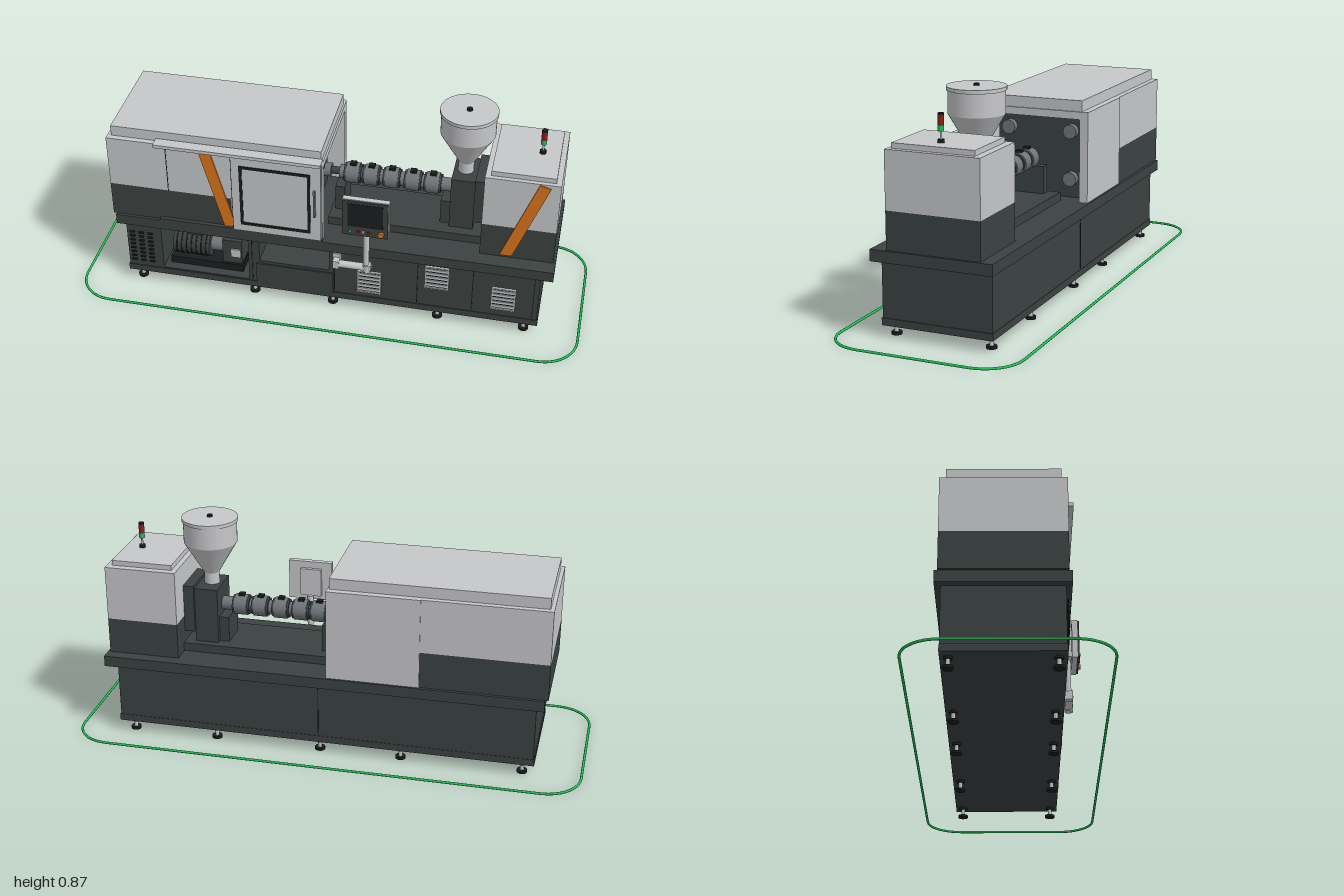
import * as THREE from 'three';

const mat = (name, color) => Object.assign(new THREE.MeshStandardMaterial({ color }), { name });

export function createModel() {
  const light = mat('light grey paint', 0xc6c7c9), dark = mat('dark grey paint', 0x3b4241);
  const black = mat('black', 0x1b1d1e), orange = mat('orange', 0xd8741c);
  const green = mat('green', 0x1fbf58), red = mat('red', 0x8a201a);
  const metal = mat('steel', 0x70757a);
  const root = new THREE.Group();
  root.name = 'mouldingMachine';

  const add = (name, geo, m) => {
    const mesh = new THREE.Mesh(geo, m);
    mesh.name = name;
    root.add(mesh);
    return mesh;
  };
  // box given by its limits on each axis
  const box = (name, m, x0, x1, y0, y1, z0, z1) => {
    const b = add(name, new THREE.BoxGeometry(x1 - x0, y1 - y0, z1 - z0), m);
    b.position.set((x0 + x1) / 2, (y0 + y1) / 2, (z0 + z1) / 2);
    return b;
  };
  // cylinder centred at a point, along axis 'x', 'y' or 'z'
  const cyl = (name, m, r, len, x, y, z, axis = 'y', seg = 24) => {
    const c = add(name, new THREE.CylinderGeometry(r, r, len, seg), m);
    if (axis === 'x') c.rotation.z = Math.PI / 2;
    if (axis === 'z') c.rotation.x = Math.PI / 2;
    c.position.set(x, y, z);
    return c;
  };
  const poly = (pts) => new THREE.Shape(pts.map(([x, y]) => new THREE.Vector2(x, y)));
  const rect = (x0, x1, y0, y1) => poly([[x0, y0], [x1, y0], [x1, y1], [x0, y1]]);
  const extrude = (name, m, shape, depth, z) => {
    const e = add(name, new THREE.ExtrudeGeometry(shape, { depth, bevelEnabled: false }), m);
    e.position.z = z;
    return e;
  };

  // floor outline: rounded rectangle tube
  const loop = new THREE.CurvePath();
  const W = 0.995, D = 0.355, R = 0.14;
  const corners = [[W, D, 0], [-W, D, 1], [-W, -D, 2], [W, -D, 3]];
  const pts = [];
  corners.forEach(([x, z, q]) => {
    for (let i = 0; i <= 8; i++) {
      const a = (q + i / 8) * Math.PI / 2;
      pts.push(new THREE.Vector3(x - Math.sign(x) * R + R * Math.cos(a), 0.006, z - Math.sign(z) * R + R * Math.sin(a)));
    }
  });
  pts.forEach((p, i) => loop.add(new THREE.LineCurve3(p, pts[(i + 1) % pts.length])));
  add('floorOutline', new THREE.TubeGeometry(loop, 300, 0.005, 8, true), green);

  // levelling feet
  for (const x of [-0.77, -0.3, 0.02, 0.44, 0.78]) for (const z of [0.17, -0.2]) {
    cyl('footPad', black, 0.02, 0.01, x, 0.006, z);
    cyl('footRod', light, 0.008, 0.03, x, 0.025, z, 'y', 12);
    cyl('footNut', black, 0.016, 0.01, x, 0.041, z, 'y', 6);
  }

  // base cabinet with open bays in the front
  box('plinth', dark, -0.817, 0.834, 0.046, 0.073, -0.23, 0.2);
  const front = rect(-0.813, 0.83, 0.073, 0.29);
  front.holes.push(rect(-0.67, -0.315, 0.078, 0.283), rect(-0.27, 0.01, 0.18, 0.28));
  extrude('baseFront', dark, front, 0.2, -0.003);
  box('baseBack', dark, -0.813, 0.83, 0.073, 0.29, -0.228, -0.003);
  box('lowerCover', dark, -0.283, 0.025, 0.075, 0.168, 0.197, 0.203);
  box('deck', dark, -0.843, 0.877, 0.29, 0.333, -0.25, 0.218);
  for (const x of [-0.3, 0.03, 0.36, 0.575, 0.81])
    box('frontSeam', black, x - 0.0015, x + 0.0015, 0.08, 0.285, 0.196, 0.199);
  box('backSeam', black, 0.02, 0.023, 0.08, 0.285, -0.23, -0.227);

  // perforations at the left end of the base
  for (let i = 0; i < 3; i++) for (let j = 0; j < 8; j++)
    box('perforation', black, -0.8 + i * 0.037, -0.78 + i * 0.037, 0.1 + j * 0.02, 0.105 + j * 0.02, 0.197, 0.205);

  // louvred vents
  for (const [x, y] of [[0.171, 0.15], [0.436, 0.218], [0.696, 0.158]]) {
    box('ventBack', black, x - 0.044, x + 0.044, y - 0.05, y + 0.05, 0.196, 0.2);
    const frame = rect(x - 0.047, x + 0.047, y - 0.053, y + 0.053);
    frame.holes.push(rect(x - 0.041, x + 0.041, y - 0.047, y + 0.047));
    extrude('ventFrame', light, frame, 0.009, 0.197);
    for (let i = -2; i <= 2; i++)
      box('ventSlat', light, x - 0.041, x + 0.041, y + i * 0.018 - 0.005, y + i * 0.018 + 0.005, 0.198, 0.204);
  }

  // hydraulic pump and motor in the open bay
  cyl('pumpMotor', dark, 0.055, 0.15, -0.565, 0.16, 0.1, 'x');
  for (let i = 0; i < 7; i++) cyl('motorFin', black, 0.058, 0.005, -0.625 + i * 0.02, 0.16, 0.1, 'x');
  box('motorTerminal', dark, -0.575, -0.52, 0.21, 0.24, 0.07, 0.13);
  cyl('coupling', metal, 0.03, 0.06, -0.465, 0.16, 0.1, 'x');
  box('pumpBody', dark, -0.435, -0.355, 0.11, 0.22, 0.06, 0.15);
  box('pumpPlate', light, -0.4, -0.36, 0.143, 0.182, 0.15, 0.156);
  cyl('pumpPipe', metal, 0.012, 0.05, -0.405, 0.24, 0.1);
  box('pumpStand', black, -0.65, -0.35, 0.075, 0.11, 0.04, 0.16);

  // clamp housing: solid left part, hollow right part
  box('clampLower', dark, -0.855, -0.37, 0.333, 0.477, -0.238, 0.207);
  box('clampUpper', light, -0.855, -0.37, 0.477, 0.69, -0.238, 0.207);
  box('clampSeam', black, -0.622, -0.619, 0.477, 0.69, 0.204, 0.2085);
  box('clampRoof', light, -0.37, -0.013, 0.66, 0.69, -0.238, 0.207);
  box('clampCap', light, -0.84, -0.02, 0.69, 0.733, -0.215, 0.185);
  box('clampFrontWall', light, -0.37, -0.013, 0.333, 0.66, 0.175, 0.207);
  box('rearDoor', light, -0.37, -0.013, 0.333, 0.69, -0.242, -0.208);
  box('platen', dark, -0.16, -0.08, 0.333, 0.65, -0.19, 0.16);
  for (const y of [0.41, 0.6]) for (const z of [-0.15, 0.11])
    cyl('tieBarNut', metal, 0.028, 0.03, -0.068, y, z, 'x');
  box('doorRail', light, -0.66, -0.013, 0.69, 0.704, 0.19, 0.234);
  box('lowerRail', dark, -0.66, -0.013, 0.333, 0.345, 0.2, 0.222);

  // sliding front door with framed window
  box('frontDoor', light, -0.36, -0.015, 0.345, 0.69, 0.207, 0.224);
  const gasket = rect(-0.33, -0.055, 0.375, 0.65);
  gasket.holes.push(rect(-0.319, -0.066, 0.386, 0.639));
  extrude('windowGasket', black, gasket, 0.005, 0.223);
  box('doorHandle', metal, -0.042, -0.034, 0.46, 0.58, 0.224, 0.236);
  box('doorEdge', black, -0.363, -0.36, 0.345, 0.69, 0.206, 0.222);

  // slanted orange stripes
  extrude('clampStripe', orange, poly([[-0.40, 0.343], [-0.36, 0.343], [-0.36, 0.37], [-0.445, 0.687], [-0.49, 0.68]]), 0.006, 0.206);
  extrude('driveStripe', orange, poly([[0.663, 0.343], [0.71, 0.343], [0.832, 0.675], [0.79, 0.687]]), 0.006, 0.156);

  // drive housing on the right
  box('driveLower', dark, 0.587, 0.868, 0.333, 0.475, -0.203, 0.157);
  box('driveUpper', light, 0.587, 0.868, 0.475, 0.69, -0.203, 0.157);
  box('driveCap', light, 0.608, 0.848, 0.69, 0.71, -0.175, 0.14);

  // signal tower
  for (const [n, m, r, y0, y1] of [['towerBase', black, 0.012, 0.71, 0.722], ['towerRod', light, 0.004, 0.722, 0.75],
    ['towerGreen', green, 0.011, 0.75, 0.77], ['towerRed', red, 0.011, 0.77, 0.806], ['towerCap', black, 0.011, 0.806, 0.813]])
    cyl(n, m, r, y1 - y0, 0.78, (y0 + y1) / 2, -0.016);

  // injection carriage
  const Z = -0.02, Y = 0.507;
  box('carriageBed', dark, -0.013, 0.587, 0.333, 0.367, -0.13, 0.1);
  box('feedBlock', dark, 0.453, 0.545, 0.367, 0.59, Z - 0.08, Z + 0.08);
  box('gearBlock', dark, 0.545, 0.587, 0.41, 0.602, Z - 0.09, Z + 0.09);
  box('rearSupport', dark, 0.415, 0.453, 0.367, 0.47, Z - 0.06, Z + 0.06);
  box('frontSupport', dark, 0.003, 0.04, 0.367, 0.475, Z - 0.06, Z + 0.06);

  // barrel with heater bands
  cyl('barrel', metal, 0.027, 0.445, 0.232, Y, Z, 'x');
  cyl('nozzle', dark, 0.015, 0.04, -0.005, Y, Z, 'x');
  for (const x of [0.062, 0.135, 0.215, 0.298, 0.375]) {
    cyl('heaterBand', metal, 0.041, 0.052, x, Y, Z, 'x', 32);
    for (const s of [-1, 1]) cyl('bandRing', dark, 0.036, 0.008, x + s * 0.03, Y, Z, 'x', 32);
    box('bandTerminal', black, x - 0.012, x + 0.012, Y + 0.036, Y + 0.048, Z - 0.012, Z + 0.012);
  }

  // hopper: side surface in separate bands keeps the edges crisp
  const profile = [[0.03, 0.585], [0.03, 0.635], [0.104, 0.762], [0.104, 0.848], [0.109, 0.848], [0.109, 0.862], [0, 0.862]];
  for (let i = 0; i + 1 < profile.length; i++) {
    const band = [profile[i], profile[i + 1]].map(([r, y]) => new THREE.Vector2(r, y));
    add('hopper', new THREE.LatheGeometry(band, 48), light).position.set(0.498, 0, -0.016);
  }
  cyl('hopperKnob', black, 0.011, 0.009, 0.498, 0.865, -0.016);

  // control panel on a swing arm
  box('panelBody', light, 0.078, 0.256, 0.435, 0.598, 0.25, 0.272);
  box('panelFace', dark, 0.081, 0.253, 0.438, 0.595, 0.272, 0.279);
  box('panelScreen', black, 0.1, 0.234, 0.48, 0.585, 0.279, 0.2805);
  box('panelMount', light, 0.12, 0.205, 0.455, 0.57, 0.236, 0.25);
  [[0.11, green], [0.14, red], [0.16, light], [0.18, red]].forEach(([x, m]) =>
    cyl('panelButton', m, 0.006, 0.006, x, 0.458, 0.281, 'z', 12));
  cyl('stopButton', orange, 0.011, 0.012, 0.228, 0.458, 0.283, 'z');
  cyl('armPost', light, 0.012, 0.22, 0.164, 0.347, 0.235);
  cyl('armBeam', light, 0.015, 0.13, 0.12, 0.253, 0.235, 'x');
  cyl('armElbow', light, 0.017, 0.034, 0.168, 0.253, 0.235);
  box('armBracket', light, 0.03, 0.06, 0.218, 0.287, 0.197, 0.22);
  box('armHinge', light, 0.035, 0.06, 0.235, 0.27, 0.218, 0.248);

  return root;
}
